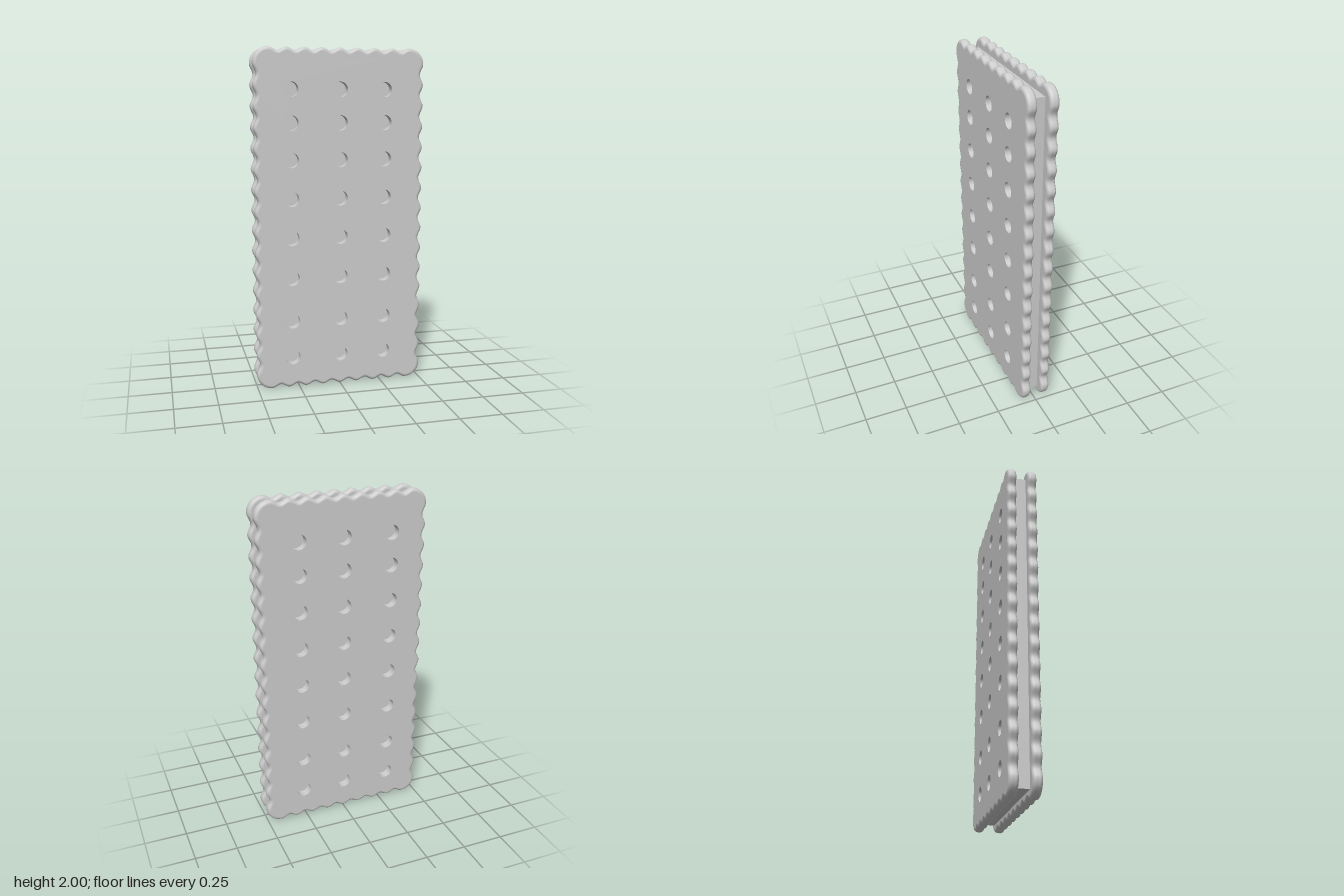
import * as THREE from 'three';

const HALF_W = 0.505, HALF_H = 1, CORNER = 0.09, WAVE = 0.02;
const HALF_T = 0.027, EDGE = 0.02, PLATE_Z = 0.061;
const HOLE_R = 0.044;
const HOLE_X = [-0.29, 0, 0.265];
const HOLE_Y = [1.763, 1.573, 1.36, 1.135, 0.905, 0.667, 0.408, 0.187];

// Scalloped rounded rectangle, counter-clockwise, pulled in by `inset`
function outline(inset) {
  const pts = [];
  const sx = HALF_W - CORNER, sy = HALF_H - CORNER, r = CORNER - inset;
  const corners = [[sx, -sy], [sx, sy], [-sx, sy], [-sx, -sy]];
  corners.forEach(([cx, cy], k) => {
    const start = (k - 1) * Math.PI / 2;
    // rounded corner
    for (let i = 0; i < 8; i++) {
      const a = start + (i / 8) * Math.PI / 2;
      pts.push(new THREE.Vector2(cx + r * Math.cos(a), cy + r * Math.sin(a)));
    }
    // wavy side towards the next corner
    const [nx, ny] = corners[(k + 1) % 4];
    const waves = k % 2 ? 8 : 15, steps = waves * 10;
    const a = start + Math.PI / 2;
    for (let i = 0; i < steps; i++) {
      const t = i / steps;
      const d = r - WAVE * (1 - Math.cos(t * waves * Math.PI * 2)) / 2;
      pts.push(new THREE.Vector2(
        cx + (nx - cx) * t + d * Math.cos(a),
        cy + (ny - cy) * t + d * Math.sin(a)));
    }
  });
  return pts;
}

// Rounded scalloped rim, lofted from rings
function rimGeometry() {
  const pos = [], index = [], rings = [], steps = 6;
  for (const s of [-1, 1]) {
    for (let i = 0; i <= steps; i++) {
      const a = (s < 0 ? i - steps : i) / steps * Math.PI / 2;
      rings.push([EDGE * (1 - Math.cos(a)), s * (HALF_T - EDGE) + EDGE * Math.sin(a)]);
    }
  }
  let n = 0;
  for (const [inset, z] of rings) {
    const pts = outline(inset);
    n = pts.length;
    pts.forEach(p => pos.push(p.x, p.y, z));
  }
  for (let j = 0; j < rings.length - 1; j++) {
    for (let i = 0; i < n; i++) {
      const a = j * n + i, b = j * n + (i + 1) % n;
      index.push(a, b, b + n, a, b + n, a + n);
    }
  }
  const g = new THREE.BufferGeometry();
  g.setAttribute('position', new THREE.Float32BufferAttribute(pos, 3));
  g.setIndex(index);
  g.computeVertexNormals();
  return g;
}

// Flat face pierced by the grid of holes
function faceGeometry() {
  const shape = new THREE.Shape(outline(EDGE));
  for (const x of HOLE_X) for (const y of HOLE_Y) {
    const hole = new THREE.Path();
    hole.absarc(x, y - HALF_H, HOLE_R, 0, Math.PI * 2, true);
    shape.holes.push(hole);
  }
  return new THREE.ShapeGeometry(shape, 16);
}

export function createModel() {
  const grey = new THREE.MeshStandardMaterial({ color: 0xcccccc, side: THREE.DoubleSide });
  grey.name = 'light grey';
  const model = new THREE.Group();
  model.name = 'sandwichBiscuit';

  const add = (parent, name, geometry, x = 0, y = 0, z = 0) => {
    const mesh = new THREE.Mesh(geometry, grey);
    mesh.name = name;
    mesh.position.set(x, y, z);
    parent.add(mesh);
    return mesh;
  };

  const rim = rimGeometry(), face = faceGeometry();
  const wall = new THREE.CylinderGeometry(HOLE_R, HOLE_R, HALF_T * 2, 32, 1, true);
  wall.rotateX(Math.PI / 2);
  const backFace = face.clone().scale(1, 1, -1);
  // reverse the corner order so the back face looks along -z
  backFace.index.array.reverse();
  const normals = backFace.attributes.normal;
  for (let i = 0; i < normals.count; i++) normals.setXYZ(i, 0, 0, -1);

  // Two identical biscuits
  for (const [name, z] of [['frontBiscuit', PLATE_Z], ['backBiscuit', -PLATE_Z]]) {
    const biscuit = new THREE.Group();
    biscuit.name = name;
    biscuit.position.set(0, HALF_H, z);
    add(biscuit, 'rim', rim);
    add(biscuit, 'frontFace', face, 0, 0, HALF_T);
    add(biscuit, 'backFace', backFace, 0, 0, -HALF_T);
    for (const x of HOLE_X) for (const y of HOLE_Y) add(biscuit, 'holeWall', wall, x, y - HALF_H, 0);
    model.add(biscuit);
  }

  // Cream filling between them
  add(model, 'filling', new THREE.BoxGeometry(0.88, 1.89, 0.07), 0, 0.993, 0);
  return model;
}
